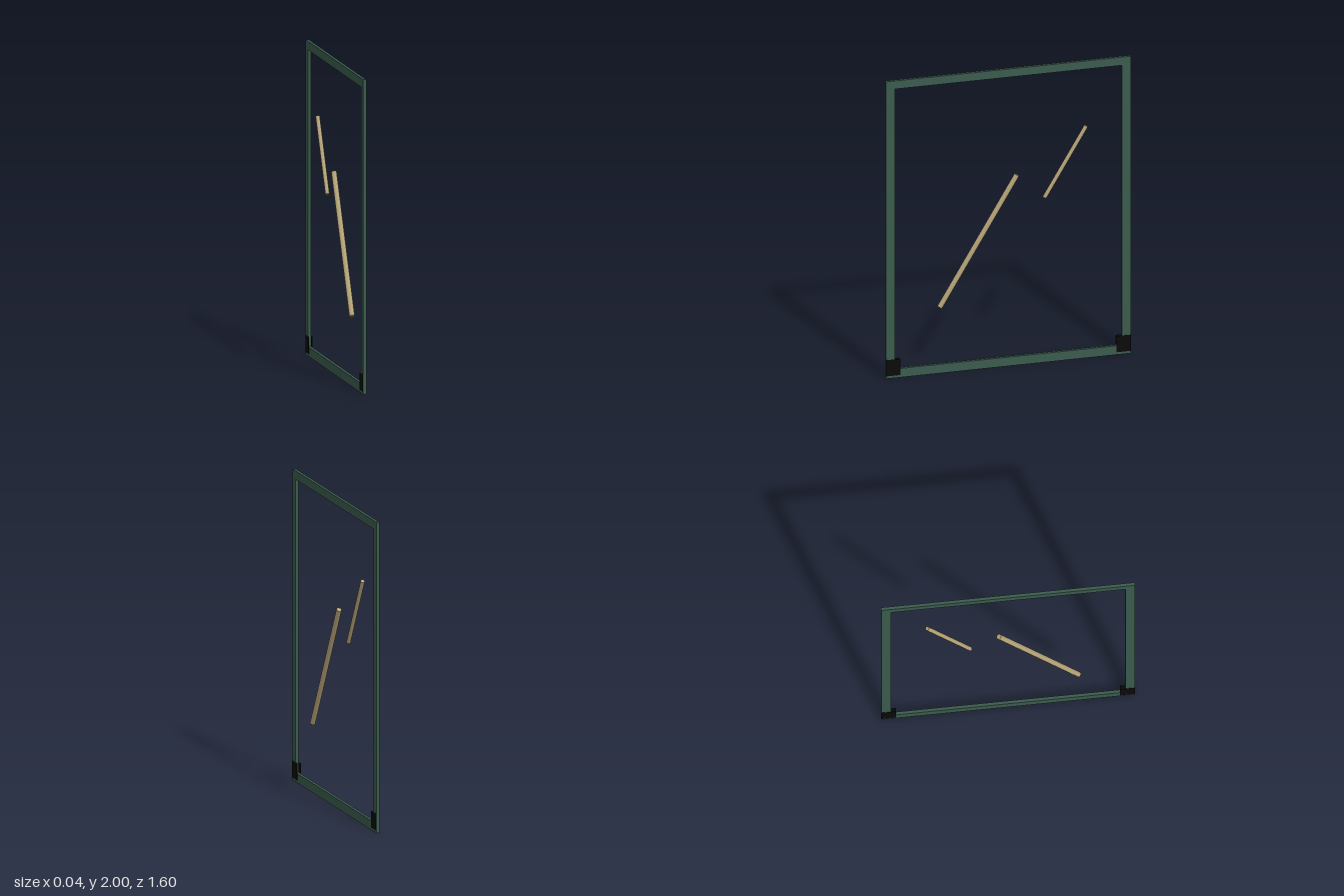
import * as THREE from 'three';

const paint = (name, color) => {
  const m = new THREE.MeshStandardMaterial({ color });
  m.name = name;
  return m;
};

export function createModel() {
  const green = paint('frameGreen', 0x3b5b4d);
  const tan = paint('rodTan', 0xb8a67a);
  const black = paint('cornerBlack', 0x0a0a0a);
  const group = new THREE.Group();
  group.name = 'framedPane';

  const add = (name, geometry, material, x, y, z) => {
    const mesh = new THREE.Mesh(geometry, material);
    mesh.name = name;
    mesh.position.set(x, y, z);
    group.add(mesh);
    return mesh;
  };

  // One-piece rectangular frame, extruded across its thin direction
  const outline = new THREE.Shape();
  outline.moveTo(-0.8, 0).lineTo(0.8, 0).lineTo(0.8, 2).lineTo(-0.8, 2).closePath();
  const opening = new THREE.Path();
  opening.moveTo(-0.74, 0.06).lineTo(-0.74, 1.945).lineTo(0.74, 1.945).lineTo(0.74, 0.06).closePath();
  outline.holes.push(opening);
  const frame = new THREE.ExtrudeGeometry(outline, { depth: 0.02, bevelEnabled: false });
  frame.translate(0, 0, -0.01).rotateY(Math.PI / 2);
  add('frame', frame, green, 0, 0, 0);

  // Thin corner plates on both faces of the two bottom corners
  for (const side of [-1, 1]) {
    for (const end of [-1, 1]) {
      add('cornerPlate', new THREE.BoxGeometry(0.002, 0.108, 0.094), black, side * 0.0112, 0.071, end * 0.753);
    }
  }

  // Two slanted rods inside the opening
  const rods = [
    ['longRod', 0.018, 0.977, 0.86, 0.194],
    ['shortRod', 0.014, 0.528, 1.333, -0.374],
  ];
  for (const [name, radius, length, y, z] of rods) {
    const rod = add(name, new THREE.CylinderGeometry(radius, radius, length, 8), tan, 0, y, z);
    rod.rotation.x = -THREE.MathUtils.degToRad(31);
  }
  return group;
}
